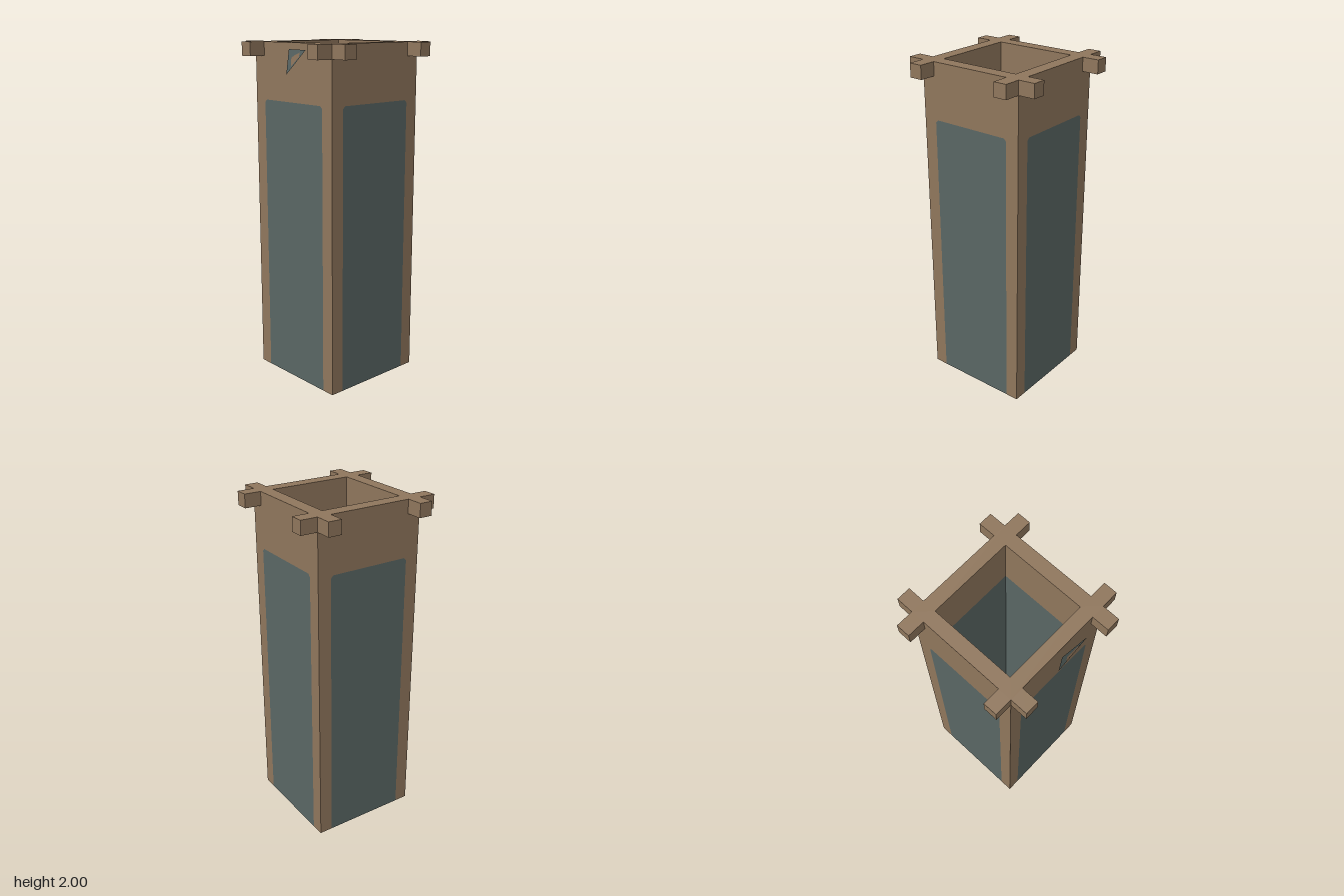
import * as THREE from 'three';

const wood = new THREE.MeshStandardMaterial({ name: 'brown wood', color: 0x8f765c, side: THREE.DoubleSide });
const slate = new THREE.MeshStandardMaterial({ name: 'slate', color: 0x596664, side: THREE.DoubleSide });

const OUT = 0.33, IN = 0.25, TOP = 2, PANEL = 1.67, CUT = 0.015, REACH = 0.43, BEAM = 0.08;

function add(parent, name, geometry, material, x = 0, y = 0, z = 0) {
  const mesh = new THREE.Mesh(geometry, material);
  mesh.name = name;
  mesh.position.set(x, y, z);
  parent.add(mesh);
  return mesh;
}

const flat = (points) => new THREE.ShapeGeometry(new THREE.Shape(points.map(([x, y]) => new THREE.Vector2(x, y))));

// Flat polygon through points given in space, as a fan
function fan(points) {
  const geometry = new THREE.BufferGeometry().setFromPoints(points);
  const index = [];
  for (let i = 1; i < points.length - 1; i++) index.push(0, i, i + 1);
  geometry.setIndex(index);
  geometry.computeVertexNormals();
  return geometry;
}

export function createModel() {
  const model = new THREE.Group();
  model.name = 'tower';

  // Panel outline with small cut corners; the wooden wall frames it flush
  const panel = [[-IN, 0], [IN, 0], [IN, PANEL - CUT], [IN - CUT, PANEL], [-IN + CUT, PANEL], [-IN, PANEL - CUT]];
  const frame = [[-OUT, 0], [-IN, 0], [-IN, PANEL - CUT], [-IN + CUT, PANEL], [IN - CUT, PANEL],
    [IN, PANEL - CUT], [IN, 0], [OUT, 0], [OUT, TOP], [-OUT, TOP]];
  const stub = new THREE.BoxGeometry(BEAM, BEAM, REACH - OUT);

  for (let i = 0; i < 4; i++) {
    const side = new THREE.Group();
    side.name = 'side';
    side.rotation.y = i * Math.PI / 2;
    model.add(side);
    add(side, 'outerWall', flat(frame), wood, 0, 0, OUT);
    add(side, 'outerPanel', flat(panel), slate, 0, 0, OUT);

    // Shaft lining, facing inwards
    const upper = add(side, 'innerWall', new THREE.PlaneGeometry(2 * IN, TOP - PANEL), wood, 0, (TOP + PANEL) / 2, IN);
    const lower = add(side, 'innerPanel', new THREE.PlaneGeometry(2 * IN, PANEL), slate, 0, PANEL / 2, IN);
    upper.rotation.y = lower.rotation.y = Math.PI;

    // Projecting beam ends
    for (const s of [-1, 1]) {
      add(side, 'beamEnd', stub, wood, s * (OUT + IN) / 2, TOP - BEAM / 2, (OUT + REACH) / 2);
    }
  }

  // Top rim around the open shaft
  const rim = new THREE.Shape([[-1, -1], [1, -1], [1, 1], [-1, 1]].map(([x, y]) => new THREE.Vector2(x * OUT, y * OUT)));
  rim.holes.push(new THREE.Path([[-1, -1], [-1, 1], [1, 1], [1, -1]].map(([x, y]) => new THREE.Vector2(x * IN, y * IN))));
  add(model, 'topRim', new THREE.ShapeGeometry(rim), wood, 0, TOP, 0).rotation.x = -Math.PI / 2;

  // Floor closing the shaft; the gap between lining and wall stays open below
  add(model, 'floor', new THREE.PlaneGeometry(2 * IN, 2 * IN), slate, 0, 0.003, 0).rotation.x = -Math.PI / 2;

  // Thin shard hanging before the front wall, with a wooden patch
  const a = new THREE.Vector3(0.005, 1.965, 0.355);
  const b = new THREE.Vector3(-0.015, 1.825, 0.36);
  const c = new THREE.Vector3(0.168, 1.965, 0.373);
  const onShard = ([u, v]) => a.clone().addScaledVector(b.clone().sub(a), u).addScaledVector(c.clone().sub(a), v);
  add(model, 'shard', fan([a, b, c]), slate);
  const patch = [[0.32, 0.22], [0.66, 0.26], [0.28, 0.67], [0.1, 0.7], [0.2, 0.45]];
  add(model, 'shardPatch', fan(patch.map(onShard)), wood, 0, 0, 0.002);

  return model;
}
